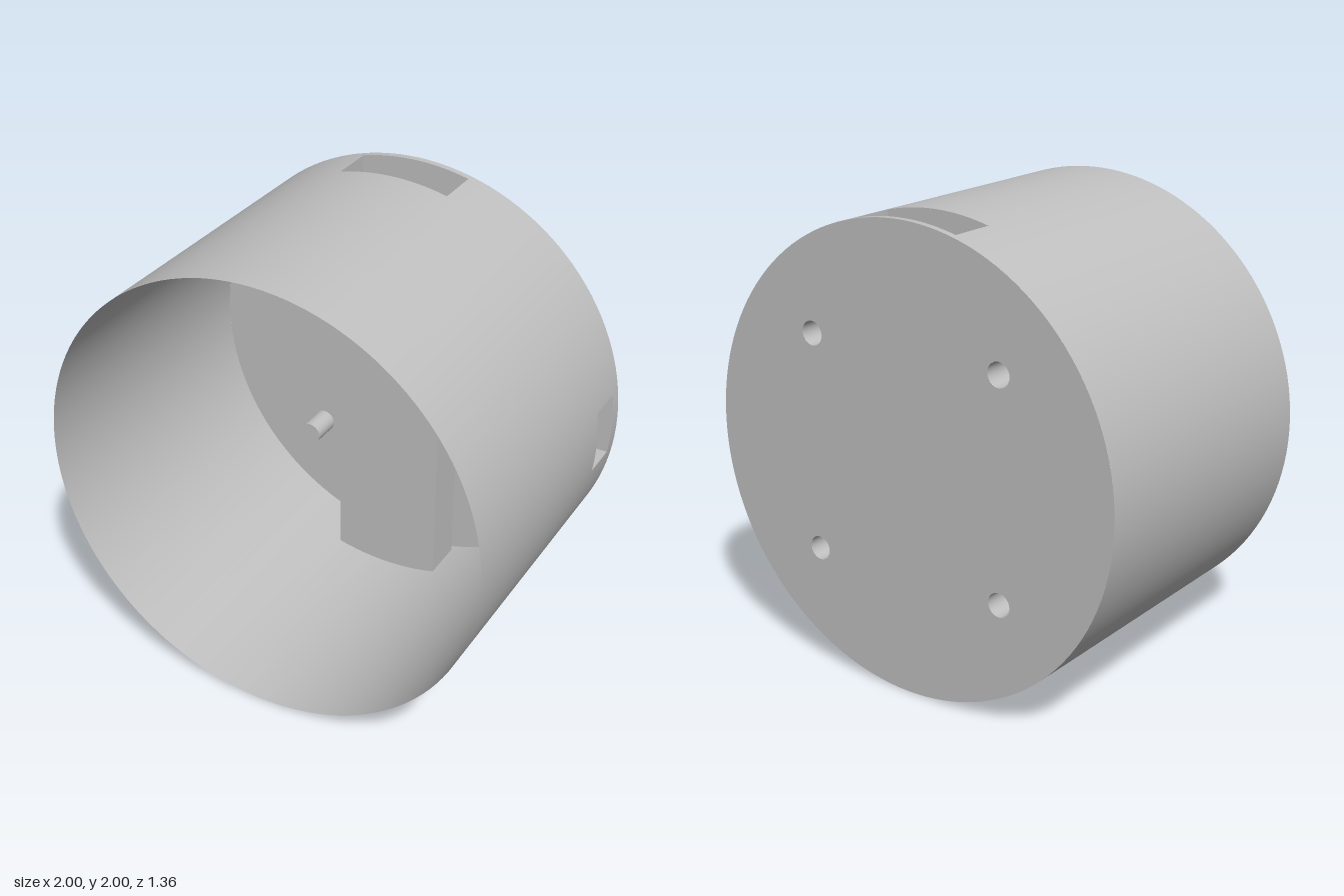
import * as THREE from 'three';
import { mergeGeometries } from 'three/addons/utils/BufferGeometryUtils.js';

const R = 1, FRONT = 0.68, BACK = -0.68;
const CH_FRONT = -0.45, CH_BACK = -0.65, BRANCH_BACK = -0.62; // channel depths
const W = 0.252, H = 0.144;                                   // channel half widths
const PIN = 0.472, PIN_R = 0.052, PIN_DEPTH = 0.14;

export function createModel() {
  const model = new THREE.Group();
  const body = new THREE.Group();
  body.position.y = 1;
  model.add(body);

  const grey = new THREE.MeshStandardMaterial({ color: 0xc0c0c0, side: THREE.DoubleSide });
  grey.name = 'plain grey';

  const add = (name, geometry) => {
    const mesh = new THREE.Mesh(geometry, grey);
    mesh.name = name;
    body.add(mesh);
    return mesh;
  };

  // Curved patch of the drum between two angles (measured from +x) and two depths
  const patch = (a0, a1, z0, z1) => {
    const n = Math.max(4, Math.ceil((a1 - a0) / 0.05));
    return new THREE.CylinderGeometry(R, R, z1 - z0, n, 1, true, a0 + Math.PI / 2, a1 - a0)
      .rotateX(Math.PI / 2).translate(0, 0, (z0 + z1) / 2);
  };

  // Drum wall, in sectors so the three slots stay open
  const aw = Math.asin(W), ah = Math.asin(H), q = Math.PI / 2;
  const solid = [[BACK, FRONT]];
  const mainSlot = [[BACK, CH_BACK], [CH_FRONT, FRONT]];
  const sideSlot = [[BACK, BRANCH_BACK], [CH_FRONT, FRONT]];
  const sectors = [
    [-ah, ah, sideSlot], [ah, q - aw, solid], [q - aw, q + aw, mainSlot],
    [q + aw, 3 * q - aw, solid], [3 * q - aw, 3 * q + aw, mainSlot], [3 * q + aw, 4 * q - ah, solid],
  ];
  add('drumWall', mergeGeometries(
    sectors.flatMap(([a0, a1, bands]) => bands.map(([z0, z1]) => patch(a0, a1, z0, z1)))));

  // Back plate with four round holes
  const plate = new THREE.Shape().absarc(0, 0, R, 0, Math.PI * 2, false);
  const corners = [[1, 1], [-1, 1], [-1, -1], [1, -1]].map(([x, y]) => [x * PIN, y * PIN]);
  for (const [x, y] of corners) {
    plate.holes.push(new THREE.Path().absarc(x, y, PIN_R, 0, Math.PI * 2, true));
  }
  add('backPlate', new THREE.ShapeGeometry(plate, 64).rotateY(Math.PI).translate(0, 0, BACK));

  // Blind sockets behind the holes, closed at their inner end
  for (const [x, y] of corners) {
    const tube = new THREE.CylinderGeometry(PIN_R, PIN_R, PIN_DEPTH, 32, 1, true).rotateX(Math.PI / 2);
    const end = new THREE.CircleGeometry(PIN_R, 32).translate(0, 0, PIN_DEPTH / 2);
    add('socket', mergeGeometries([tube, end])).position.set(x, y, BACK + PIN_DEPTH / 2);
  }

  // T-shaped front face of the channels
  const tee = new THREE.Shape();
  tee.absarc(0, 0, R, -ah, ah, false);
  tee.lineTo(W, H);
  tee.absarc(0, 0, R, q - aw, q + aw, false);
  tee.absarc(0, 0, R, 3 * q - aw, 3 * q + aw, false);
  tee.lineTo(W, -H);
  add('channelFront', new THREE.ShapeGeometry(tee, 12).translate(0, 0, CH_FRONT));

  // Rear faces of the main channel and its side branch
  const strip = new THREE.Shape();
  strip.absarc(0, 0, R, q - aw, q + aw, false);
  strip.absarc(0, 0, R, 3 * q - aw, 3 * q + aw, false);
  add('channelBack', new THREE.ShapeGeometry(strip, 12).translate(0, 0, CH_BACK));

  const branch = new THREE.Shape();
  branch.absarc(0, 0, R, -ah, ah, false);
  branch.lineTo(W, H);
  branch.lineTo(W, -H);
  add('branchBack', new THREE.ShapeGeometry(branch, 12).translate(0, 0, BRANCH_BACK));

  // Side walls of the channels
  const wallX = (name, x, y0, y1, z0, z1) => add(name,
    new THREE.PlaneGeometry(z1 - z0, y1 - y0).rotateY(Math.PI / 2)
      .translate(x, (y0 + y1) / 2, (z0 + z1) / 2));
  const end = Math.cos(aw), tip = Math.cos(ah);
  wallX('channelSideRight', -W, -end, end, CH_BACK, CH_FRONT);
  wallX('channelSideLeftUpper', W, H, end, CH_BACK, CH_FRONT);
  wallX('channelSideLeftLower', W, -end, -H, CH_BACK, CH_FRONT);
  wallX('branchStep', W, -H, H, CH_BACK, BRANCH_BACK);
  for (const s of [1, -1]) {
    add('branchSide', new THREE.PlaneGeometry(tip - W, CH_FRONT - BRANCH_BACK).rotateX(-s * Math.PI / 2)
      .translate((W + tip) / 2, s * H, (CH_FRONT + BRANCH_BACK) / 2));
  }

  return model;
}
